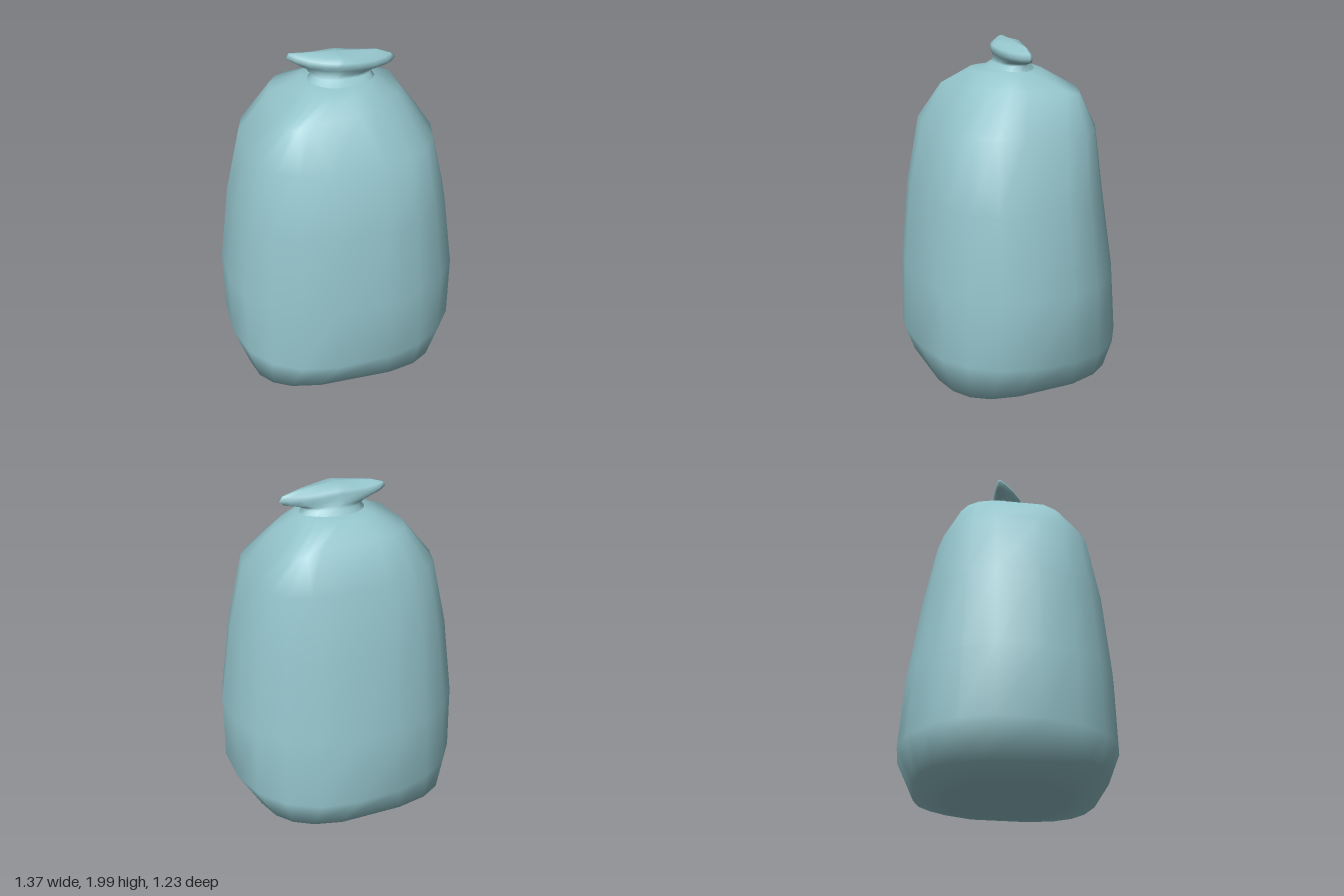
import * as THREE from 'three';
import { mergeVertices } from 'three/addons/utils/BufferGeometryUtils.js';

const SIDES = 20;

// Cross-sections from bottom to top:
// [y, reach to -x, reach to +x, reach to +z, reach to -z,
//  squareness of the corners [+x+z, -x+z, -x-z, +x-z],
//  sag of the -x+z and +x-z corners, skew and droop]
const ROUND = [2, 2, 2, 2];
const BAG = [
  [0.002, 0, 0, 0, 0, ROUND, 0, 0],
  [0.012, 0.39, 0.36, 0.34, 0.34, [2.6, 3, 3, 2.6], 0, 0],
  [0.055, 0.615, 0.565, 0.53, 0.52, [3.4, 4, 3.3, 3.2], -0.025, 0],
  [0.27, 0.696, 0.692, 0.62, 0.622, [2.35, 2.4, 2.25, 2.15], 0.02, 0],
  [0.67, 0.696, 0.692, 0.61, 0.59, [2.35, 2.35, 2.25, 2.1], 0, 0],
  [1.14, 0.635, 0.62, 0.565, 0.515, [2.45, 2.4, 2.4, 2.2], 0, 0],
  [1.53, 0.545, 0.525, 0.475, 0.435, [2.7, 3, 2.6, 3], 0.01, 0],
  [1.755, 0.36, 0.365, 0.315, 0.32, [1.7, 7, 3.2, 7], 0.045, 0],
  [1.83, 0.2, 0.225, 0.22, 0.18, [2, 2.5, 3, 2.5], 0, 0],
  [1.847, 0.13, 0.18, 0.09, 0.09, ROUND, 0, 0],
];
// The flared end above the tie
const FLARE = [1.4, 1.4, 1.4, 1.4];
const KNOT = [
  [1.834, 0.165, 0.215, 0.15, 0.135, ROUND, 0, 0],
  [1.866, 0.138, 0.197, 0.1, 0.095, ROUND, 0, 0.2],
  [1.886, 0.165, 0.225, 0.115, 0.075, FLARE, 0, 0.7],
  [1.912, 0.235, 0.315, 0.135, 0.055, FLARE, 0, 1],
  [1.937, 0.265, 0.337, 0.148, 0.05, FLARE, 0, 1],
  [1.96, 0.25, 0.315, 0.143, 0.045, FLARE, 0, 1],
  [1.98, 0.19, 0.23, 0.1, 0.035, FLARE, 0, 0.6],
  [1.996, 0, 0, 0, 0, ROUND, 0, 0],
];

// Skins superellipse rings into one smooth surface
function loft(rows) {
  const pos = [], index = [];
  rows.forEach(([y, xn, xp, zp, zn, corners, sag, skew], j) => {
    for (let i = 0; i < SIDES; i++) {
      const a = ((i + 0.5) / SIDES) * Math.PI * 2;
      const c = Math.cos(a), s = Math.sin(a);
      const n = corners[Math.floor((4 * i) / SIDES)];
      const x = Math.sign(c) * Math.abs(c) ** (2 / n) * (c > 0 ? xp : xn);
      const z = Math.sign(s) * Math.abs(s) ** (2 / n) * (s > 0 ? zp : zn);
      const ripple = xp > 0 ? 0.005 * Math.cos(4 * a) : 0;
      pos.push(
        x,
        y - sag * Math.max(-Math.sin(2 * a), 0) + skew * (ripple - 0.06 * x),
        z + skew * (0.13 * x - 0.04),
      );
      if (j < rows.length - 1) {
        const p = j * SIDES + i, q = j * SIDES + ((i + 1) % SIDES);
        if (xp > 0) index.push(p, p + SIDES, q);
        if (rows[j + 1][2] > 0) index.push(q, p + SIDES, q + SIDES);
      }
    }
  });
  let geo = new THREE.BufferGeometry();
  geo.setAttribute('position', new THREE.Float32BufferAttribute(pos, 3));
  geo.setIndex(index);
  geo = mergeVertices(geo); // welds the poles
  geo.computeVertexNormals();
  return geo;
}

export function createModel() {
  const group = new THREE.Group();
  group.name = 'tiedBag';
  const material = new THREE.MeshStandardMaterial({ color: 0x94c4cb });
  const add = (name, rows) => {
    const mesh = new THREE.Mesh(loft(rows), material);
    mesh.name = name;
    group.add(mesh);
  };
  add('bagBody', BAG);
  add('gatheredTop', KNOT);
  return group;
}
